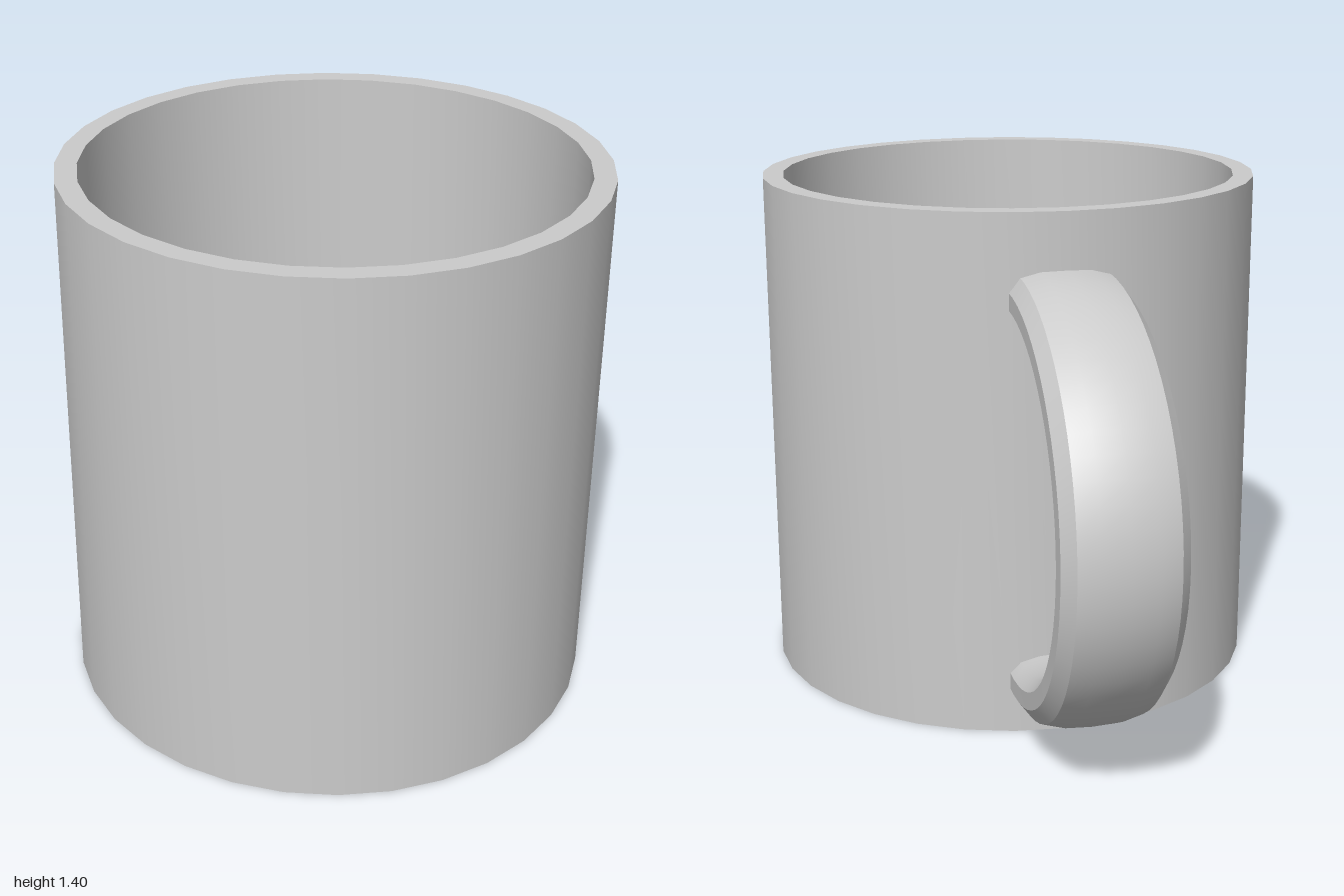
import * as THREE from 'three';
import { toCreasedNormals } from 'three/addons/utils/BufferGeometryUtils.js';

const material = new THREE.MeshStandardMaterial({ color: 0xcccccc });

// Hollow straight-walled body with a flat rim and floor
function makeBody() {
  const R = 0.686, r = 0.63, H = 1.4, floor = 0.06;
  const profile = [[0, 0], [R, 0], [R, H], [r, H], [r, floor], [0, floor]]
    .map(([x, y]) => new THREE.Vector2(x, y));
  const body = new THREE.Mesh(toCreasedNormals(new THREE.LatheGeometry(profile, 32), 0.6), material);
  body.name = 'cupBody';
  body.position.z = 0.314;
  return body;
}

// Broad handle: a domed section with narrow flat sides, swept along a half ellipse
function makeHandle() {
  const steps = 32, a = 0.58, b = 0.517;
  const right = [[0.07, -0.07], [0.125, -0.055], [0.155, -0.025], [0.155, 0.02], [0.125, 0.058], [0.07, 0.072]];
  const left = right.map(([x, d]) => [-x, d]).reverse();
  const section = [[0, -0.075], ...right, [0, 0.075], ...left];
  const n = section.length;
  const positions = [], index = [];

  for (let i = 0; i <= steps; i++) {
    const t = (i / steps) * Math.PI, s = Math.sin(t), c = Math.cos(t);
    const outward = new THREE.Vector2(s / a, c / b).normalize();
    const width = 0.93 + 0.07 * s;
    for (const [x, d] of section) {
      positions.push(x * width, 0.66 + b * c + d * outward.y, -0.345 - a * s - d * outward.x);
    }
  }
  for (let i = 0; i < steps; i++) {
    for (let j = 0; j < n; j++) {
      const p = i * n + j, q = i * n + (j + 1) % n;
      index.push(p, p + n, q, q, p + n, q + n);
    }
  }
  // End caps, buried in the wall
  const last = steps * n;
  for (let j = 1; j < n - 1; j++) {
    index.push(0, j, j + 1, last, last + j + 1, last + j);
  }

  const geometry = new THREE.BufferGeometry();
  geometry.setAttribute('position', new THREE.Float32BufferAttribute(positions, 3));
  geometry.setIndex(index);
  const handle = new THREE.Mesh(toCreasedNormals(geometry, 0.6), material);
  handle.name = 'handle';
  return handle;
}

export function createModel() {
  const mug = new THREE.Group();
  mug.name = 'mug';
  mug.add(makeBody(), makeHandle());
  return mug;
}
